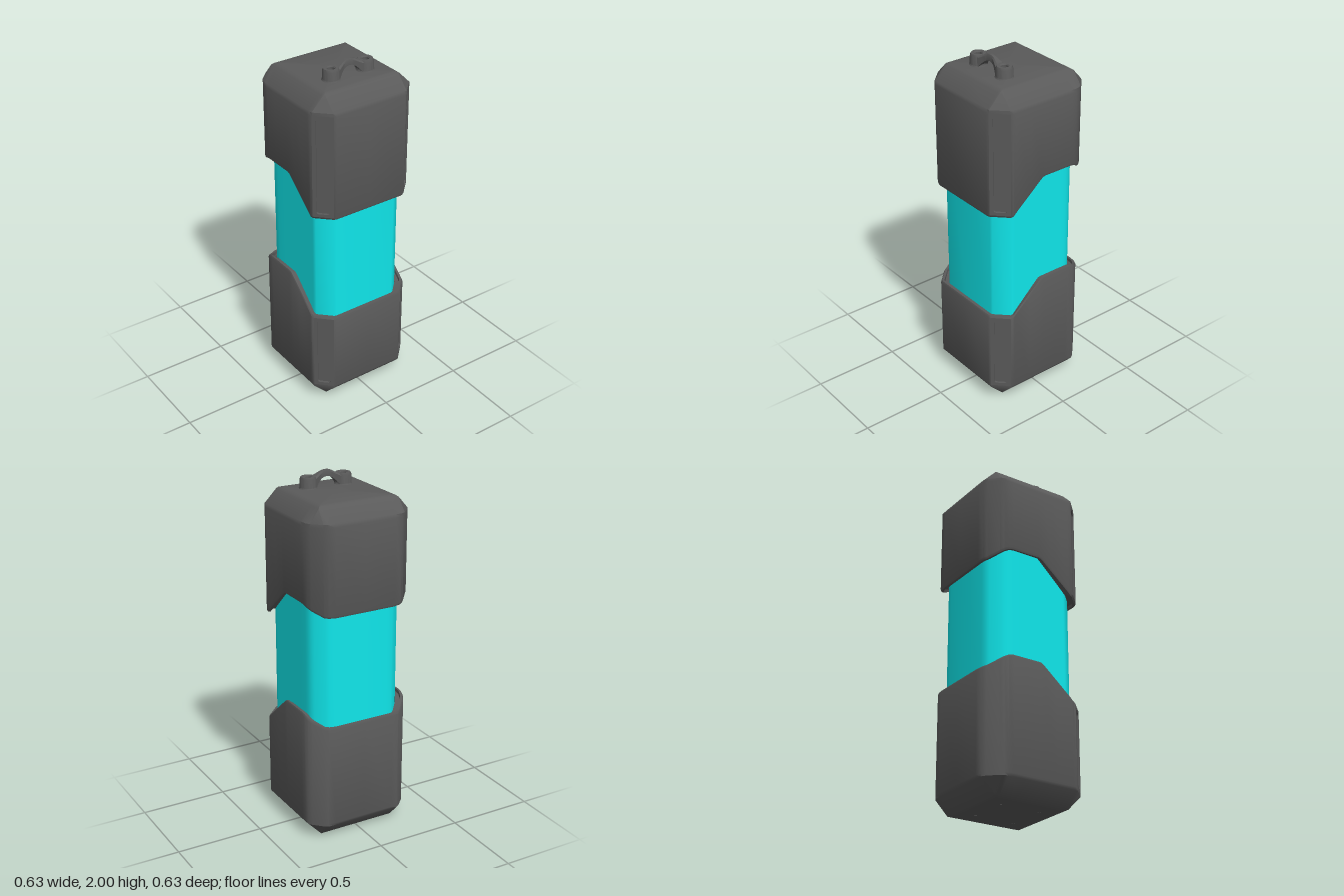
import * as THREE from 'three';
import { toCreasedNormals } from 'three/addons/utils/BufferGeometryUtils.js';

const shellMat = new THREE.MeshStandardMaterial({ color: 0x5a5a5a });
const coreMat = new THREE.MeshStandardMaterial({ color: 0x10e6ea });

// Half outline of the body (z >= 0), running from +x round the front to -x
const half = [
  [0.315, 0], [0.315, 0.215], [0.31, 0.23], [0.23, 0.31], [0.215, 0.315], [0.2, 0.315],
  [0.1, 0.315], [0.03, 0.315], [0.015, 0.315], [0, 0.315], [-0.1, 0.315], [-0.17, 0.315],
  [-0.2, 0.313], [-0.225, 0.306], [-0.245, 0.293], [-0.295, 0.243], [-0.308, 0.222],
  [-0.315, 0.18], [-0.315, 0],
];
const outline = [...half, ...half.slice(1, -1).reverse().map(([x, z]) => [x, -z])];
const chamferColumns = [2, outline.length - 3];

// Height of the upper shell's wavy rim, depending on x
const wave = [[-0.315, 1.32], [-0.295, 1.325], [-0.225, 1.37], [-0.2, 1.383], [-0.17, 1.387],
  [0, 1.387], [0.015, 1.383], [0.03, 1.372], [0.2, 1.23], [0.215, 1.215], [0.23, 1.21], [0.32, 1.21]];
const GAP = 0.63;

function interpolate(table, v) {
  const k = Math.max(1, table.findIndex(p => p[0] >= v));
  const [a, b] = [table[k - 1], table[k]];
  return a[1] + (b[1] - a[1]) * (v - a[0]) / (b[0] - a[0]);
}

// Skin a list of closed rings; columns can be left open
function loft(rings, isOpen = () => false) {
  const n = rings[0].length;
  const index = [];
  for (let r = 0; r < rings.length - 1; r++) {
    for (let i = 0; i < n; i++) {
      if (isOpen(r, i)) continue;
      const j = (i + 1) % n;
      const a = r * n + i, b = r * n + j, c = b + n, d = a + n;
      index.push(a, d, c, a, c, b);
    }
  }
  const geo = new THREE.BufferGeometry();
  geo.setAttribute('position', new THREE.Float32BufferAttribute(rings.flat(2), 3));
  geo.setIndex(index);
  return toCreasedNormals(geo, 0.55);
}

// Scaled ring following the rim, and clamped ring at a fixed height
const rimRing = (scale, dy) =>
  outline.map(([x, z]) => [x * scale, interpolate(wave, x) + dy, z * scale]);
const flatRing = (limit, y) =>
  outline.map(([x, z]) => [THREE.MathUtils.clamp(x, -limit, limit), y, THREE.MathUtils.clamp(z, -limit, limit)]);

function add(parent, name, geometry, material = shellMat) {
  const mesh = new THREE.Mesh(geometry, material);
  mesh.name = name;
  parent.add(mesh);
  return mesh;
}

function roundedRect(path, w, h, r) {
  const x = w / 2, y = h / 2;
  path.moveTo(-x + r, -y);
  path.lineTo(x - r, -y).quadraticCurveTo(x, -y, x, -y + r);
  path.lineTo(x, y - r).quadraticCurveTo(x, y, x - r, y);
  path.lineTo(-x + r, y).quadraticCurveTo(-x, y, -x, y - r);
  path.lineTo(-x, -y + r).quadraticCurveTo(-x, -y, -x + r, -y);
  return path;
}

// Chamfer faces with a sunken slot, on both +x corners
function addCornerSlots(parent, y0, y1) {
  const w = 0.08 * Math.SQRT2, h = y1 - y0, depth = 0.014;
  const face = new THREE.Shape([[-1, -1], [1, -1], [1, 1], [-1, 1]]
    .map(([u, v]) => new THREE.Vector2(u * w / 2, v * h / 2)));
  face.holes.push(roundedRect(new THREE.Path(), 0.072, h - 0.036, 0.014));
  const frame = new THREE.ExtrudeGeometry(face, { depth, bevelEnabled: false, curveSegments: 5 });
  frame.translate(0, 0, -depth);
  const floor = new THREE.PlaneGeometry(0.08, h - 0.02).translate(0, 0, -depth + 0.001);
  for (const side of [1, -1]) {
    const slot = new THREE.Group();
    slot.name = 'cornerSlot';
    add(slot, 'slotFrame', frame);
    add(slot, 'slotFloor', floor);
    slot.position.set(0.27, (y0 + y1) / 2, side * 0.27);
    slot.rotation.y = side > 0 ? Math.PI / 4 : 3 * Math.PI / 4;
    parent.add(slot);
  }
}

// Strap loop: two hollow posts joined by a narrow arch
function addStrapLoop(parent) {
  const loop = new THREE.Group();
  loop.name = 'strapLoop';
  const profile = [[0.052, 1.908], [0.046, 1.917], [0.045, 1.962], [0.04, 1.974], [0.025, 1.974],
    [0.02, 1.968], [0.02, 1.955], [0, 1.955]].map(([r, y]) => new THREE.Vector2(r, y));
  const post = toCreasedNormals(new THREE.LatheGeometry(profile, 28), 0.6);
  for (const side of [1, -1]) add(loop, 'loopPost', post).position.z = side * 0.108;

  // Arch stations: |z|, half width, bottom, top
  const stations = [[0.085, 0.036, 1.91, 1.972], [0.07, 0.03, 1.915, 1.974], [0.055, 0.023, 1.935, 1.981],
    [0.035, 0.015, 1.953, 1.992], [0.018, 0.012, 1.962, 1.998], [0, 0.012, 1.965, 2]];
  const all = [...stations.map(s => [-s[0], ...s.slice(1)]), ...stations.slice(0, -1).reverse()];
  add(loop, 'loopArch', loft(all.map(([z, w, lo, hi]) => [
    [-0.6 * w, hi, z], [0.6 * w, hi, z], [w, hi - 0.01, z], [w, lo, z], [-w, lo, z], [-w, hi - 0.01, z],
  ])));
  loop.position.x = 0.112;
  parent.add(loop);
}

export function createModel() {
  const model = new THREE.Group();
  model.name = 'canister';

  // Coloured core, its ends hidden inside the shells
  const coreRing = y => outline.map(([x, z]) => [x * 0.875, y, z * 0.875]);
  add(model, 'core', loft([coreRing(0.4), coreRing(1.55)]), coreMat);

  // Upper shell: inner lip, rim, wall, sloped shoulder, top
  const upper = new THREE.Group();
  upper.name = 'upperShell';
  add(upper, 'upperBody', loft([
    rimRing(0.88, 0.05), rimRing(0.88, 0.018), rimRing(0.945, 0.018), rimRing(0.95, 0),
    rimRing(0.985, 0), rimRing(1, 0.012), flatRing(0.315, 1.81), flatRing(0.309, 1.828),
    flatRing(0.24, 1.898), flatRing(0.228, 1.907), flatRing(0.212, 1.911), flatRing(0, 1.911),
  ], (r, i) => r === 5 && chamferColumns.includes(i)));
  addCornerSlots(upper, 1.222, 1.81);
  addStrapLoop(upper);
  model.add(upper);

  // Lower shell: base, sloped foot, wall, rim, inner lip
  const lower = new THREE.Group();
  lower.name = 'lowerShell';
  add(lower, 'lowerBody', loft([
    flatRing(0, 0), flatRing(0.212, 0), flatRing(0.228, 0.006), flatRing(0.308, 0.088),
    flatRing(0.315, 0.104), rimRing(1, -GAP - 0.012), rimRing(0.985, -GAP), rimRing(0.95, -GAP),
    rimRing(0.945, -GAP - 0.018), rimRing(0.88, -GAP - 0.018), rimRing(0.88, -GAP - 0.05),
  ], (r, i) => r === 4 && chamferColumns.includes(i)));
  addCornerSlots(lower, 0.104, 0.568);

  // Four small screws under the base
  const screw = new THREE.CylinderGeometry(0.01, 0.01, 0.004, 14);
  for (const x of [-0.12, 0.12]) {
    for (const z of [-0.12, 0.12]) add(lower, 'baseScrew', screw).position.set(x, 0.001, z);
  }
  model.add(lower);
  return model;
}
